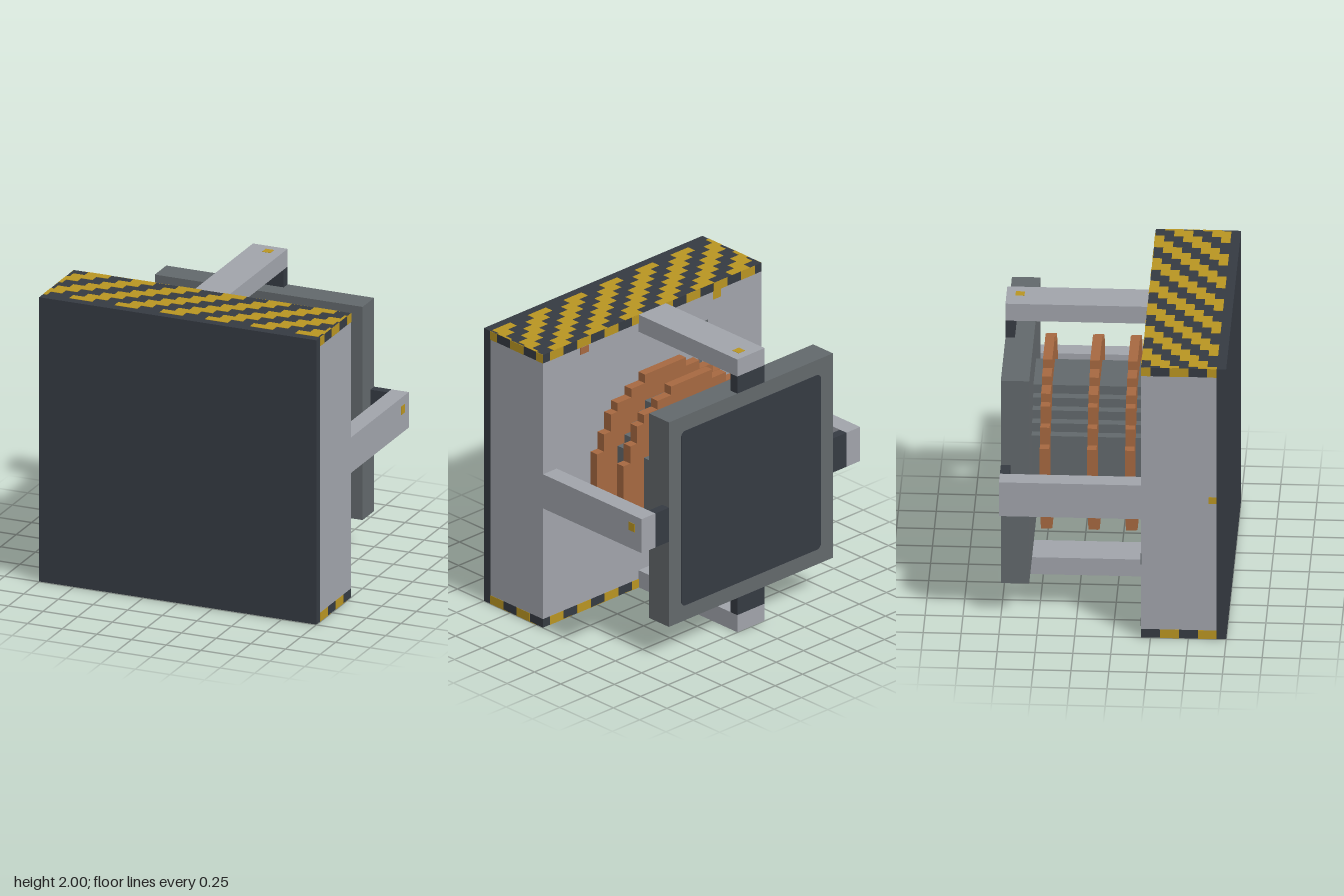
import * as THREE from 'three';

const U = 1 / 16; // block unit

function material(name, color) {
  const m = new THREE.MeshStandardMaterial({ color });
  m.name = name;
  return m;
}

export function createModel() {
  const root = new THREE.Group();
  root.name = 'mountedCoilDevice';
  const dark = material('darkSteel', 0x353a42);
  const light = material('lightSteel', 0xa0a3aa);
  const grey = material('ironGrey', 0x62686b);
  const copper = material('copper', 0xa56840);
  const yellow = material('hazardYellow', 0xb89422);

  const add = (name, geometry, mat, parent = root) => {
    const mesh = new THREE.Mesh(geometry, mat);
    mesh.name = name;
    parent.add(mesh);
    return mesh;
  };
  // Box given by its low and high corners
  const box = (name, mat, x0, x1, y0, y1, z0, z1, parent) => {
    const g = new THREE.BoxGeometry(x1 - x0, y1 - y0, z1 - z0);
    g.translate((x0 + x1) / 2, (y0 + y1) / 2, (z0 + z1) / 2);
    return add(name, g, mat, parent);
  };

  // Stepped disc: round outline rasterised to block units
  function steppedDisc(radius, z0, z1) {
    const half = [];
    for (let j = 0; j < radius; j++) {
      half.push(Math.floor(Math.sqrt(radius ** 2 - (j + 0.5) ** 2) + 0.5));
    }
    const q = [];
    half.forEach((h, j) => {
      if (j > 0 && half[j - 1] !== h) q.push([h, j]);
      if (half[j + 1] !== h) q.push([h, j + 1]);
    });
    const flip = (sx, sy) => q.map(([x, y]) => [x * sx, y * sy]);
    const outline = [...q, ...flip(-1, 1).reverse(), ...flip(-1, -1), ...flip(1, -1).reverse()];
    const shape = new THREE.Shape(outline.map(([x, y]) => new THREE.Vector2(x * U, y * U)));
    const g = new THREE.ExtrudeGeometry(shape, { depth: z1 - z0, bevelEnabled: false });
    return g.translate(0, 1, z0);
  }

  // Front slab with hazard caps at top and bottom
  const zb = 3 * U, zf = 11 * U;
  box('frontPlate', dark, -1, 1, 0, 2, zf, 12 * U);
  box('slabBody', light, -1, 1, U, 2 - U, zb, zf);
  box('topCap', dark, -1, 1, 2 - U, 2, zb, zf);
  box('bottomCap', dark, -1, 1, 0, U, zb, zf);

  // Stepped diagonal hazard stripes on the outer cap faces
  const stripes = new THREE.Group();
  stripes.name = 'hazardStripes';
  root.add(stripes);
  const T = 0.002, period = 0.326, width = 0.165;
  for (const y of [0, 2]) {
    for (let row = 0; row < 8; row++) {
      const z = zb + row * U;
      const start = -0.527 - 1.3 * (z + U / 2) - width / 2;
      for (let k = -2; k < 10; k++) {
        const x0 = Math.max(-1, start + k * period);
        const x1 = Math.min(1, start + k * period + width);
        if (x1 - x0 > 0.01) box('stripe', yellow, x0, x1, y - T, y + T, z, z + U, stripes);
      }
    }
  }

  // Alternating blocks along the cap edges
  for (const [y0, zs] of [
    [2 - U, [[10, 11], [6, 8], [3, 4]]],
    [0, [[9, 11], [5, 7]]],
  ]) {
    for (const x of [-1, 1]) {
      for (const [a, b] of zs) box('sideBlock', yellow, x - T, x + T, y0, y0 + U, a * U, b * U, stripes);
    }
    for (let k = 0; k < 8; k++) {
      const x = -1 + k * 0.25 + U;
      box('backBlock', yellow, x, x + 0.125, y0, y0 + U, zb - T, zb + T, stripes);
    }
  }

  // Four arms and their dark brackets, turned around the centre
  for (let i = 0; i < 4; i++) {
    const arm = new THREE.Group();
    arm.name = 'arm';
    arm.position.y = 1;
    arm.rotation.z = (i * Math.PI) / 2;
    box('armBeam', light, -0.125, 0.125, 0.875, 1, -0.75, zb, arm);
    box('armBracket', dark, -0.125, 0.125, 0.75, 0.875, -0.75, -0.6875, arm);
    root.add(arm);
  }

  // Indicator spots on two arms
  box('topSpot', yellow, -0.005, 0.055, 2 - T, 2 + T, -0.69, -0.63);
  box('sideSpot', yellow, 1 - T, 1 + T, 1.005, 1.065, -0.685, -0.625);

  // Rear plate with its rounded inset panel
  box('rearPlate', grey, -0.75, 0.75, 0.25, 1.75, -0.75, -0.5625);
  const s = 0.64, r = 0.04;
  const panel = new THREE.Shape();
  panel.absarc(s - r, s - r, r, 0, Math.PI / 2);
  panel.absarc(r - s, s - r, r, Math.PI / 2, Math.PI);
  panel.absarc(r - s, r - s, r, Math.PI, Math.PI * 1.5);
  panel.absarc(s - r, r - s, r, Math.PI * 1.5, Math.PI * 2);
  add('rearPanel', new THREE.ExtrudeGeometry(panel, { depth: 0.004, bevelEnabled: false, curveSegments: 4 }), dark)
    .position.set(0, 1, -0.753);

  // Core and copper coils
  add('core', steppedDisc(7, -9 * U, zb), grey);
  for (const z of [1, -3, -8]) add('coilRing', steppedDisc(10, z * U, (z + 1) * U), copper);

  // Worn patches on the slab: x, y, width, height
  for (const [x, y, w, h, mat] of [
    [-0.48, 1.72, 0.06, 0.06, grey], [-0.44, 1.47, 0.03, 0.05, grey],
    [-0.86, 1.4, 0.08, 0.07, grey], [-0.975, 0.58, 0.05, 0.08, grey],
    [-0.93, 0.11, 0.13, 0.06, grey], [-0.59, 1.91, 0.07, 0.06, yellow],
    [0.62, 1.91, 0.08, 0.05, copper],
  ]) {
    box('wornPatch', mat, x - w / 2, x + w / 2, y - h / 2, y + h / 2, zb - T, zb + T);
  }
  box('sidePatch', yellow, -1 - T, -1 + T, 1, 1.05, 0.635, 0.685);

  return root;
}
